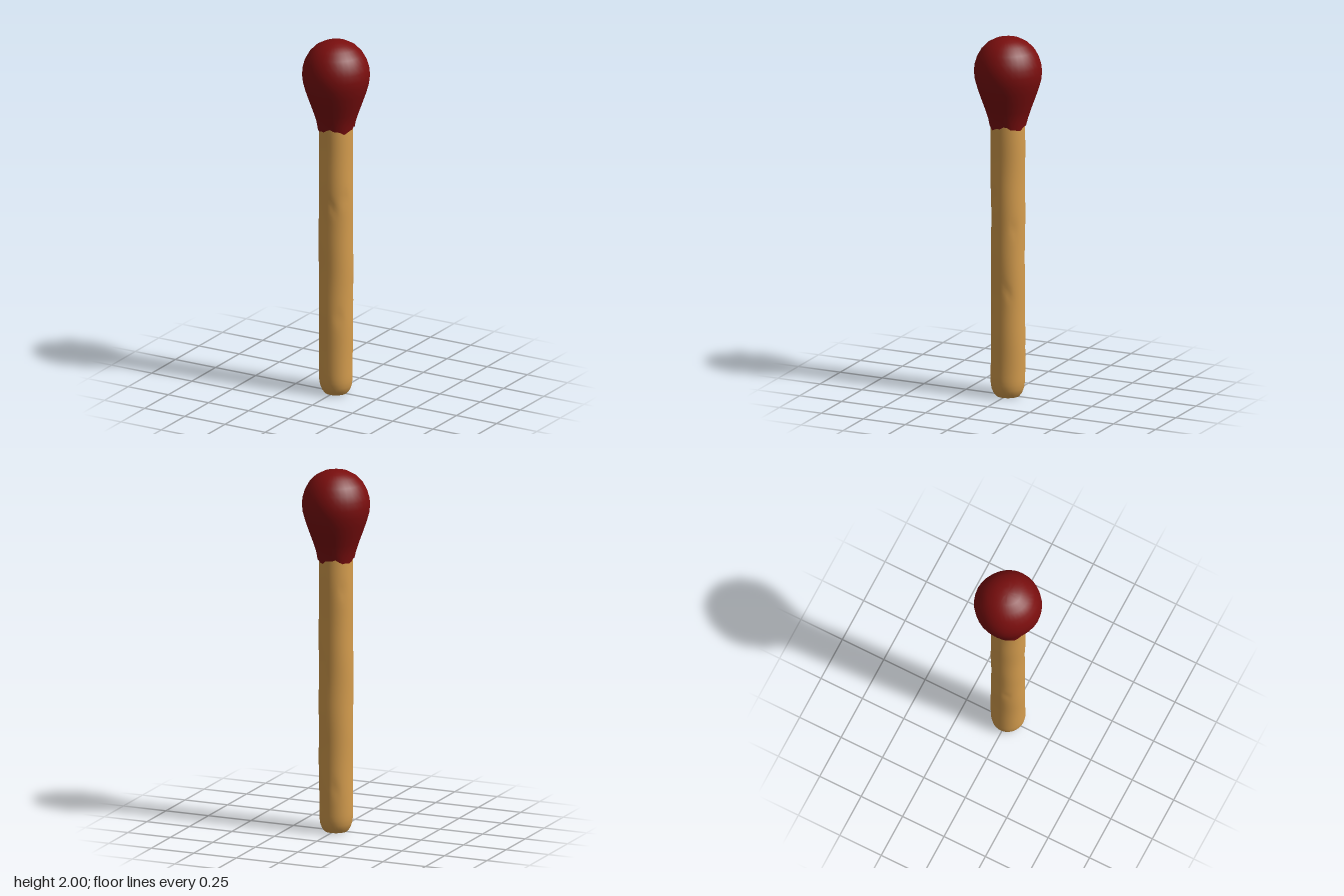
import * as THREE from 'three';
import { mergeVertices, toCreasedNormals } from 'three/addons/utils/BufferGeometryUtils.js';

const wood = new THREE.MeshStandardMaterial({ color: 0xd59d4e });
wood.name = 'wood';
const redTip = new THREE.MeshStandardMaterial({ color: 0x7a0e0e });
redTip.name = 'red tip';

// Lathe whose vertices are moved by a rule(vertex, angle), welded and smoothed
function carvedLathe(profile, segments, rule, crease) {
  const points = profile.map(([r, y]) => new THREE.Vector2(r, y));
  let geometry = new THREE.LatheGeometry(points, segments);
  geometry.deleteAttribute('uv');
  geometry.deleteAttribute('normal');
  geometry = mergeVertices(geometry, 1e-5);
  const position = geometry.attributes.position;
  const v = new THREE.Vector3();
  for (let i = 0; i < position.count; i++) {
    v.fromBufferAttribute(position, i);
    rule(v, Math.atan2(v.x, v.z));
    position.setXYZ(i, v.x, v.y, v.z);
  }
  return toCreasedNormals(geometry, crease);
}

// Whittled nicks: angle around the stick, height, slant
const nicks = [
  [0.3, 1.08, -0.5], [1.1, 1.12, 0.5], [-2.3, 1.35, 0.6], [2.4, 0.95, 0.4],
  [-1.2, 0.62, 0.3], [2.0, 0.6, -0.5], [0.7, 0.45, 0.4], [-2.8, 0.25, 0.2],
];

function makeStick() {
  // Chamfered foot, then a long straight shaft ending inside the head
  const profile = [[0, 0], [0.063, 0], [0.077, 0.018], [0.087, 0.045], [0.091, 0.075]];
  for (let y = 0.1; y < 1.57; y += 0.025) profile.push([0.092, y]);
  const rule = (v, a) => {
    if (v.y < 0.01) return;
    let k = 1 + 0.012 * Math.sin(2 * a + 5 * v.y) + 0.01 * Math.sin(3 * a - 9 * v.y)
      + 0.008 * Math.sin(a + 17 * v.y);
    for (const [angle, height, slant] of nicks) {
      const dy = v.y - height;
      const da = Math.atan2(Math.sin(a - angle), Math.cos(a - angle)) - slant * dy * 4;
      k -= 0.05 * Math.exp(-((da / 0.16) ** 2) - (dy / 0.04) ** 2);
    }
    v.x *= k;
    v.z *= k;
  };
  return carvedLathe(profile, 32, rule, 0.7);
}

function makeHead() {
  // Bulb drawn in toward the stick, with an uneven lower edge
  const profile = [
    [0.086, 1.515], [0.1, 1.51], [0.107, 1.55], [0.125, 1.605], [0.145, 1.66], [0.164, 1.715],
    [0.178, 1.765], [0.183, 1.81], [0.179, 1.85], [0.167, 1.89], [0.145, 1.93],
    [0.112, 1.965], [0.07, 1.988], [0.035, 1.997], [0, 2],
  ];
  const rule = (v, a) => {
    if (v.y < 1.53) v.y += 0.011 * Math.sin(4 * a + 0.6) + 0.005 * Math.sin(11 * a);
    const k = 1 + 0.008 * Math.sin(4 * a + 1.2);
    v.x *= k;
    v.z *= k;
  };
  return carvedLathe(profile, 32, rule, 1);
}

export function createModel() {
  const group = new THREE.Group();
  group.name = 'matchstick';
  const stick = new THREE.Mesh(makeStick(), wood);
  stick.name = 'stick';
  const head = new THREE.Mesh(makeHead(), redTip);
  head.name = 'head';
  group.add(stick, head);
  return group;
}
